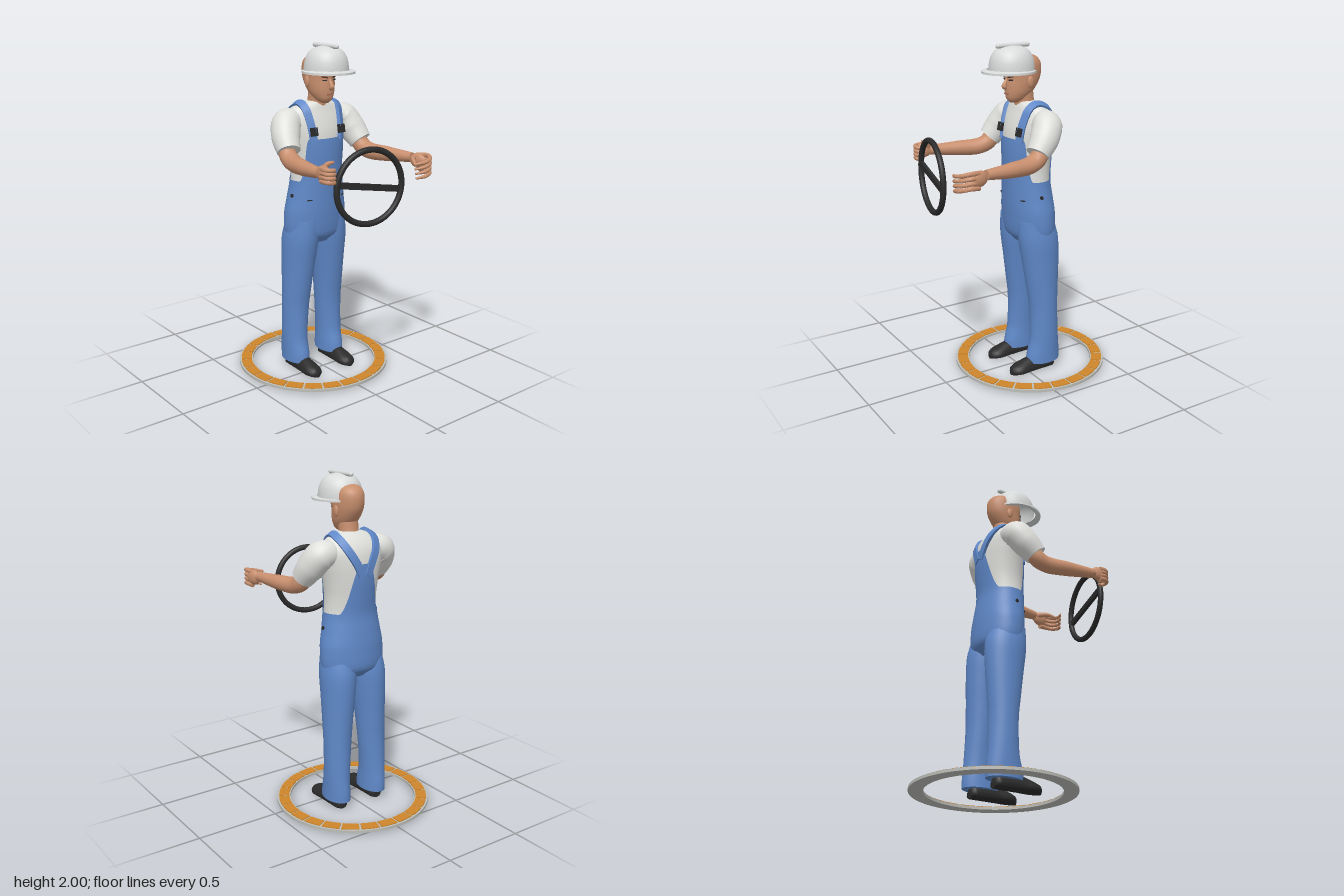
import * as THREE from 'three';
import { toCreasedNormals } from 'three/addons/utils/BufferGeometryUtils.js';

const V = (x, y, z) => new THREE.Vector3(x, y, z);
const paint = (name, color, side = THREE.FrontSide) => {
  const m = new THREE.MeshStandardMaterial({ color, side });
  m.name = name;
  return m;
};

// Rows are [y, xBack, xFront, zHalf]
const TORSO = [[0.82, -0.16, -0.01, 0.13], [0.87, -0.212, 0.035, 0.19], [1.0, -0.215, 0.05, 0.197],
  [1.1, -0.205, 0.055, 0.18], [1.2, -0.192, 0.058, 0.165], [1.3, -0.2, 0.06, 0.162], [1.4, -0.208, 0.06, 0.175],
  [1.5, -0.208, 0.05, 0.195], [1.57, -0.195, 0.03, 0.208], [1.62, -0.168, 0.012, 0.185],
  [1.65, -0.135, 0.003, 0.135], [1.67, -0.11, -0.005, 0.062]];
const HEAD = [[1.662, -0.01, 0.04, 0.022], [1.68, -0.06, 0.06, 0.047], [1.72, -0.1, 0.067, 0.068],
  [1.76, -0.13, 0.068, 0.078], [1.8, -0.15, 0.066, 0.083], [1.85, -0.157, 0.07, 0.085],
  [1.89, -0.15, 0.06, 0.08], [1.92, -0.125, 0.03, 0.062], [1.935, -0.08, 0, 0.03]];
// Leg rows are [y, xBack, xFront, zInner, zOuter]
const LEG = [[0.055, -0.222, 0.0, 0.06, 0.203], [0.1, -0.222, -0.002, 0.06, 0.203], [0.2, -0.212, -0.026, 0.06, 0.205],
  [0.4, -0.205, -0.028, 0.045, 0.206], [0.55, -0.21, -0.008, 0.032, 0.206], [0.7, -0.217, 0.014, 0.016, 0.207],
  [0.85, -0.216, 0.036, 0.0, 0.207], [0.97, -0.19, 0.04, 0.0, 0.19]];

// Smooth interpolation of a row table by its first column
function at(rows, y) {
  let i = 0;
  while (i < rows.length - 2 && y > rows[i + 1][0]) i++;
  const t = THREE.MathUtils.clamp((y - rows[i][0]) / (rows[i + 1][0] - rows[i][0]), 0, 1);
  const p = k => rows[THREE.MathUtils.clamp(k, 0, rows.length - 1)];
  return rows[i].map((_, c) => {
    const [a, b, d, e] = [p(i - 1)[c], p(i)[c], p(i + 1)[c], p(i + 2)[c]];
    return b + 0.5 * t * (d - a + t * (2 * a - 5 * b + 4 * d - e + t * (3 * (b - d) + e - a)));
  });
}
// x of an elliptical body surface, front (+1) or back (-1)
function surfaceX(rows, y, z, sign) {
  const [, b, f, w] = at(rows, y);
  return (b + f) / 2 + sign * (f - b) / 2 * Math.sqrt(Math.max(0, 1 - (z / w) ** 2));
}
// Skin over closed rings of points, wound outwards
function loft(rings, caps = true, crease = 0.9) {
  const n = rings[0].length, pts = rings.flat(), idx = [];
  for (let i = 0; i < rings.length - 1; i++) for (let j = 0; j < n; j++) {
    const a = i * n + j, b = i * n + (j + 1) % n;
    idx.push(a, a + n, b, b, a + n, b + n);
  }
  if (caps) [0, rings.length - 1].forEach((r, end) => {
    const c = pts.push(rings[r].reduce((s, p) => s.add(p), V(0, 0, 0)).divideScalar(n)) - 1;
    for (let j = 0; j < n; j++) {
      const a = r * n + j, b = r * n + (j + 1) % n;
      end ? idx.push(a, c, b) : idx.push(a, b, c);
    }
  });
  const mid = pts.reduce((s, p) => s.add(p), V(0, 0, 0)).divideScalar(pts.length);
  let volume = 0;
  for (let k = 0; k < idx.length; k += 3) {
    const [a, b, c] = [0, 1, 2].map(o => pts[idx[k + o]].clone().sub(mid));
    volume += a.dot(b.cross(c));
  }
  if (volume < 0) idx.reverse();
  const g = new THREE.BufferGeometry().setFromPoints(pts);
  g.setIndex(idx);
  return toCreasedNormals(g, crease);
}
const ring = (n, f) => Array.from({ length: n }, (_, j) => f(j / n * Math.PI * 2));
const steps = (n, a, b) => Array.from({ length: n + 1 }, (_, i) => a + (b - a) * i / n);
// Elliptical body between two heights
const body = (rows, y0, y1, n) => loft(steps(n, y0, y1).map(y => {
  const [, b, f, w] = at(rows, y);
  return ring(40, t => V((b + f) / 2 + (f - b) / 2 * Math.cos(t), y, w * Math.sin(t)));
}));
// Round limb of changing radius with closed ends
function limb(points, radii, sides = 14, n = 24) {
  const curve = new THREE.CatmullRomCurve3(points.map(p => V(...p)));
  const frames = curve.computeFrenetFrames(n);
  return loft(steps(n, 0, 1).map((u, i) => {
    const k = Math.min(u * (radii.length - 1), radii.length - 1.0001), a = Math.floor(k);
    const r = THREE.MathUtils.lerp(radii[a], radii[a + 1], k - a), c = curve.getPoint(u);
    return ring(sides, t => c.clone().addScaledVector(frames.normals[i], r * Math.cos(t))
      .addScaledVector(frames.binormals[i], r * Math.sin(t)));
  }));
}

export function createModel() {
  const root = new THREE.Group();
  const blue = paint('overallBlue', 0x5f88c8, THREE.DoubleSide), shirt = paint('shirtWhite', 0xdfe0dc);
  const skin = paint('skin', 0xc88f6e), black = paint('black', 0x2b2b2c);
  const white = paint('helmetWhite', 0xd9dbdb, THREE.DoubleSide), orange = paint('orange', 0xcd852a);
  const grey = paint('baseGrey', 0xbdbdb8), brown = paint('browBrown', 0x4a2f22);
  const lip = paint('lip', 0xa86a55);
  const add = (name, geo, mat, pos = [0, 0, 0], parent = root) => {
    const m = new THREE.Mesh(geo, mat);
    m.name = name;
    m.position.set(...pos);
    parent.add(m);
    return m;
  };

  // Floor ring with 24 tiles
  const arcShape = (r0, r1, a0, a1) => {
    const s = new THREE.Shape();
    s.absarc(0, 0, r1, a0, a1, false);
    s.absarc(0, 0, r0, a1, a0, true);
    return s;
  };
  const disc = new THREE.Shape().absarc(0, 0, 0.466, 0, Math.PI * 2);
  disc.holes.push(new THREE.Path().absarc(0, 0, 0.384, 0, Math.PI * 2, true));
  add('floorRing', new THREE.ExtrudeGeometry(disc, { depth: 0.016, bevelEnabled: false, curveSegments: 48 })
    .rotateX(-Math.PI / 2), grey, [-0.1, 0.014, 0]);
  for (let i = 0; i < 24; i++) {
    const a = i * Math.PI / 12;
    add('floorTile', new THREE.ExtrudeGeometry(arcShape(0.391, 0.454, a + 0.014, a + Math.PI / 12 - 0.014),
      { depth: 0.005, bevelEnabled: false, curveSegments: 4 }).rotateX(-Math.PI / 2), orange, [-0.1, 0.03, 0]);
  }

  // Shirt and overalls
  add('shirtBody', body(TORSO, 1.05, 1.67, 30), shirt);
  const bibTop = t => {
    const d = Math.abs(THREE.MathUtils.radToDeg(Math.atan2(Math.sin(t), Math.cos(t))));
    return 1.21 + 0.25 * (1 - THREE.MathUtils.smoothstep(d, 40, 68)) + 0.29 * THREE.MathUtils.smoothstep(d, 128, 174);
  };
  add('overallBody', loft(steps(32, 0, 1).map(v => ring(96, t => {
    const y = 0.82 + (bibTop(t) - 0.82) * v, [, b, f, w] = at(TORSO, y);
    return V((b + f) / 2 + ((f - b) / 2 + 0.007) * Math.cos(t), y, (w + 0.007) * Math.sin(t));
  })), false), blue);

  for (const s of [1, -1]) {
    const side = s > 0 ? 'left' : 'right';
    // Trouser leg and shoe
    add(side + 'Leg', loft(steps(28, 0.055, 0.97).map(y => {
      const [, b, f, zi, zo] = at(LEG, y);
      return ring(32, t => V((b + f) / 2 + (f - b) / 2 * Math.cos(t), y, s * ((zi + zo) / 2 + (zo - zi) / 2 * Math.sin(t))));
    })), blue);
    const shoe = [[-0.18, 0.028, 0.05], [-0.168, 0.043, 0.08], [-0.1, 0.046, 0.1], [0, 0.05, 0.088],
      [0.06, 0.056, 0.068], [0.1, 0.043, 0.054], [0.117, 0.018, 0.035]];
    add(side + 'Shoe', loft(steps(20, -0.18, 0.117).map(x => {
      const [, w, h] = at(shoe, x);
      return ring(24, t => V(x, 0.02 + Math.sin(t) * (Math.sin(t) > 0 ? h - 0.02 : 0.02), s * 0.13 + w * Math.cos(t)));
    })), black);

    // Strap over the shoulder
    const path = [[1.44, 0.095, 1], [1.52, 0.103, 1], [1.58, 0.11, 1], [1.63, 0.117, 1], [1.657, 0.12, 0],
      [1.63, 0.117, -1], [1.57, 0.09, -1], [1.5, 0.05, -1], [1.43, 0.018, -1]]
      .map(([y, z, k]) => V(surfaceX(TORSO, y, z, k), y, s * z));
    const curve = new THREE.CatmullRomCurve3(path);
    add(side + 'Strap', loft(steps(32, 0, 1).map(u => {
      const p = curve.getPoint(u), tan = curve.getTangent(u);
      const out = p.clone().sub(V(-0.08, 1.5, s * 0.04)).normalize();
      const across = tan.clone().cross(out).normalize(), n = across.clone().cross(tan).normalize();
      return [[-1, -1], [1, -1], [1, 1], [-1, 1]].map(([a, b]) =>
        p.clone().addScaledVector(across, a * 0.023).addScaledVector(n, 0.004 + b * 0.01));
    }), true, 0.6), blue);
    const buckle = add(side + 'Buckle', new THREE.BoxGeometry(0.014, 0.05, 0.046), black,
      [surfaceX(TORSO, 1.5, 0.1, 1) + 0.014, 1.505, s * 0.1]);
    buckle.rotation.z = 0.2;

    // Hip button and pocket slit
    add(side + 'HipButton', new THREE.CylinderGeometry(0.011, 0.011, 0.008, 16).rotateX(Math.PI / 2), black,
      [-0.06, 1.12, s * 0.184]);
    const slit = add(side + 'PocketSlit', new THREE.BoxGeometry(0.008, 0.007, 0.03), black,
      [surfaceX(TORSO, 1.1, 0.12, 1) + 0.007, 1.1, s * 0.12]);
    slit.rotation.y = -s * 0.45;

    // Sleeve and arm
    add(side + 'Sleeve', limb([[-0.09, 1.56, s * 0.13], [-0.075, 1.548, s * 0.205], [-0.03, 1.48, s * 0.245], [0.025, 1.41, s * 0.265]],
      [0.07, 0.088, 0.083, 0.068], 24), shirt);
    const wrist = s > 0 ? [0.4, 1.362, 0.333] : [0.4, 1.36, -0.337];
    add(side + 'Arm', limb([[-0.03, 1.47, s * 0.25], [0.03, 1.385, s * 0.272], [0.09, 1.358, s * 0.282],
      [0.22, 1.355, s * 0.308], wrist], [0.045, 0.052, 0.05, 0.044, 0.028], 20), skin);

    // Hand: one grips the rim, the other is half open
    const hand = new THREE.Group();
    hand.name = side + 'Hand';
    root.add(hand);
    const palm = add('palm', new THREE.SphereGeometry(1, 20, 14), skin, s > 0 ? [0.432, 1.366, 0.337] : [0.445, 1.348, -0.345], hand);
    palm.scale.set(0.055, 0.045, 0.026);
    palm.rotation.y = s > 0 ? 0 : 0.2;
    for (let i = 0; i < 4; i++) {
      const y = 1.395 - i * 0.022, o = 1.385 - i * 0.027;
      add('finger', limb(s > 0
        ? [[0.43, y, 0.35], [0.475, y, 0.352], [0.493, y - 0.004, 0.325], [0.478, y - 0.008, 0.3], [0.455, y - 0.008, 0.3]]
        : [[0.45, o - 0.005, -0.35], [0.505, o, -0.36], [0.545, o - 0.01, -0.335], [0.56, o - 0.02, -0.285], [0.535, o - 0.03, -0.225 - i * 0.005]],
      [0.015, 0.013, 0.012, 0.011, 0.006], 10, 14), skin, [0, 0, 0], hand);
    }
    add('thumb', limb(s > 0
      ? [[0.41, 1.385, 0.325], [0.435, 1.415, 0.31], [0.465, 1.43, 0.295]]
      : [[0.42, 1.36, -0.325], [0.465, 1.36, -0.285], [0.515, 1.34, -0.255]],
    [0.018, 0.014, 0.007], 10, 10), skin, [0, 0, 0], hand);

    // Ear, eye and brow
    const ear = add(side + 'Ear', new THREE.SphereGeometry(1, 16, 12), skin, [-0.045, 1.785, s * 0.082]);
    ear.scale.set(0.02, 0.034, 0.011);
    [['Brow', 1.813, 0.008, 0.036, brown], ['Eye', 1.795, 0.007, 0.024, black]].forEach(([name, y, h, w, mat]) => {
      const m = add(side + name, new THREE.BoxGeometry(0.008, h, w), mat, [surfaceX(HEAD, y, 0.034, 1) + 0.001, y, s * 0.034]);
      m.rotation.set(name === 'Brow' ? -s * 0.15 : 0, -s * 0.5, 0);
    });
  }

  // Neck, head and face
  add('neck', limb([[-0.06, 1.6, 0], [-0.052, 1.67, 0], [-0.04, 1.75, 0]], [0.066, 0.058, 0.06], 24, 10), skin);
  add('head', body(HEAD, 1.662, 1.935, 24), skin);
  add('nose', limb([[0.06, 1.8, 0], [0.076, 1.772, 0], [0.081, 1.755, 0], [0.064, 1.743, 0]],
    [0.007, 0.012, 0.015, 0.007], 12, 12), skin);
  add('mouth', new THREE.BoxGeometry(0.008, 0.008, 0.042), lip, [0.066, 1.714, 0]);

  // Hard hat
  const dome = [[1, 0], [0.98, 0.25], [0.92, 0.5], [0.79, 0.73], [0.58, 0.89], [0.3, 0.97], [0, 1]];
  add('helmetDome', new THREE.LatheGeometry(new THREE.SplineCurve(dome.map(p => new THREE.Vector2(...p)))
    .getPoints(24).map(p => p.setX(Math.max(0, p.x))), 48), white, [0.03, 1.845, 0]).scale.set(0.135, 0.142, 0.127);
  const brim = [[0.8, 0], [1, -0.006], [1, 0.006], [0.8, 0.014]].map(p => new THREE.Vector2(...p));
  add('helmetBrim', toCreasedNormals(new THREE.LatheGeometry(brim, 48), 0.6), white, [0.05, 1.841, 0]).scale.set(0.16, 1, 0.148);
  add('helmetRidge', new THREE.CapsuleGeometry(0.014, 0.195, 6, 14).rotateZ(Math.PI / 2), white, [0.023, 1.986, 0]);

  // Steering wheel
  const wheel = new THREE.Group();
  wheel.name = 'steeringWheel';
  wheel.position.set(0.512, 1.27, 0.083);
  wheel.rotation.y = Math.PI / 2 - 0.16;
  add('wheelRim', new THREE.TorusGeometry(0.206, 0.017, 14, 64), black, [0, 0, 0], wheel);
  add('wheelBar', new THREE.BoxGeometry(0.4, 0.034, 0.02), black, [0, 0, 0], wheel).rotation.z = -0.16;
  root.add(wheel);
  return root;
}
